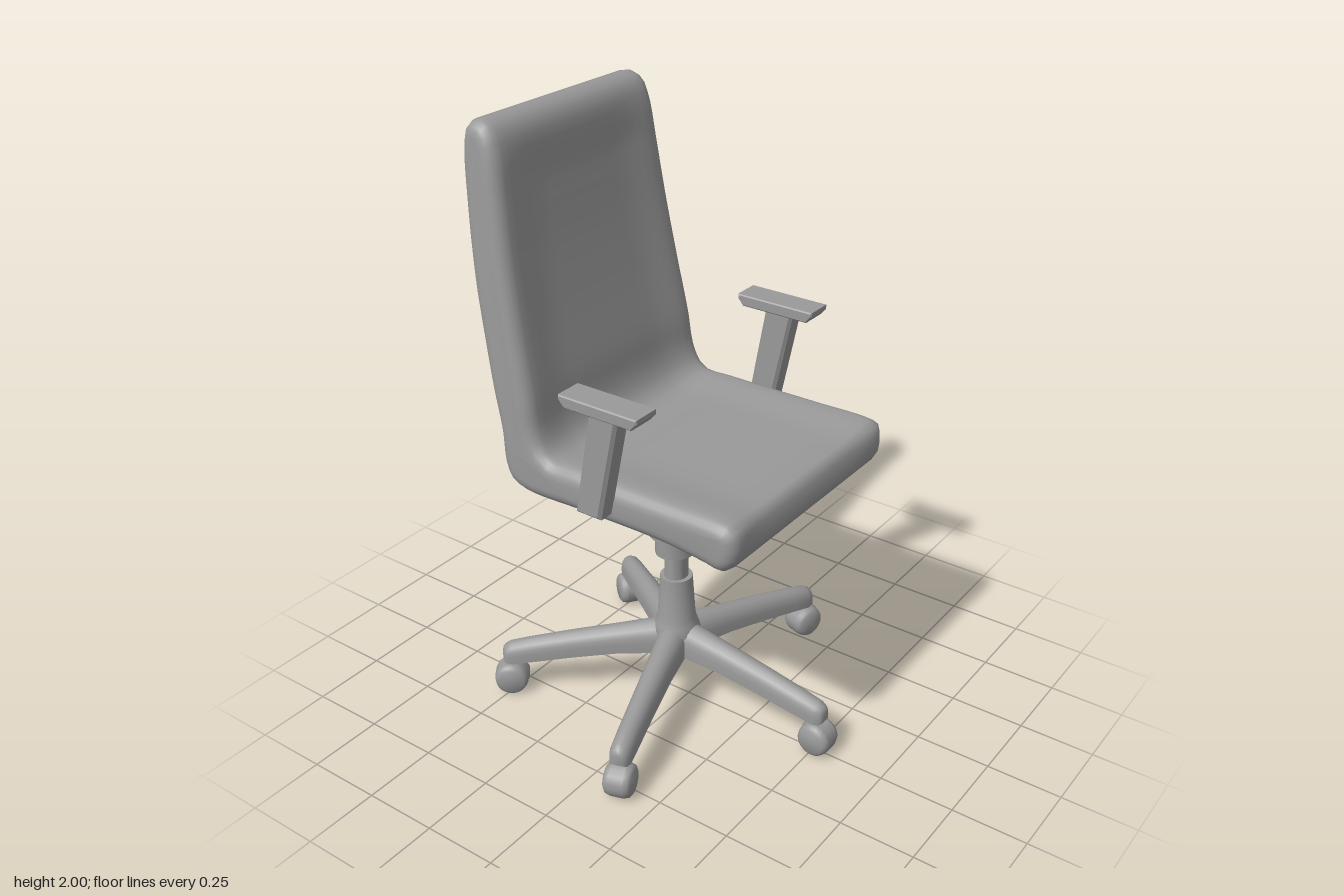
import * as THREE from 'three';
import { toCreasedNormals } from 'three/addons/utils/BufferGeometryUtils.js';

const material = new THREE.MeshStandardMaterial({ color: 0x999999 });
const AXIS_Z = -0.05; // the pedestal stands slightly behind the middle

function part(name, geometry, parent) {
  const mesh = new THREE.Mesh(geometry, material);
  mesh.name = name;
  parent.add(mesh);
  return mesh;
}

// Skin a row of cross-sections that follow each other along +x, and cap both ends.
// Each ring runs counter-clockwise as seen from +x.
function loft(rings, crease) {
  const n = rings[0].length;
  const last = (rings.length - 1) * n;
  const index = [];
  for (let i = 0; i < rings.length - 1; i++) {
    for (let j = 0; j < n; j++) {
      const a = i * n + j, c = i * n + (j + 1) % n;
      index.push(a, c, a + n, c, c + n, a + n);
    }
  }
  const flat = (ring) => ring.map((p) => new THREE.Vector2(-p.z, p.y));
  for (const [a, b, c] of THREE.ShapeUtils.triangulateShape(flat(rings[0]), [])) index.push(a, c, b);
  for (const [a, b, c] of THREE.ShapeUtils.triangulateShape(flat(rings.at(-1)), [])) index.push(last + a, last + b, last + c);
  const geometry = new THREE.BufferGeometry().setFromPoints(rings.flat());
  geometry.setIndex(index);
  return toCreasedNormals(geometry, crease);
}

function lathe(points, crease = 0.6) {
  const geometry = new THREE.LatheGeometry(points.map(([r, y]) => new THREE.Vector2(r, y)), 24);
  return toCreasedNormals(geometry, crease);
}

// Seat and back are one L-shaped cushion: side profile (z, y), rounded and dished across x.
function cushionGeometry() {
  const { smoothstep } = THREE.MathUtils;
  const outline = [
    [0.455, 0.97], [0.45, 0.9], [0.41, 0.858], [0.34, 0.866], [0.2, 0.88], [-0.1, 0.88], [-0.32, 0.88],
    [-0.375, 0.905], [-0.402, 0.96], [-0.412, 1.07], [-0.44, 1.2], [-0.47, 1.36], [-0.5, 1.53],
    [-0.525, 1.75], [-0.535, 1.93], [-0.52, 1.985], [-0.48, 2.0], [-0.435, 1.98], [-0.41, 1.92],
    [-0.39, 1.78], [-0.365, 1.6], [-0.33, 1.4], [-0.29, 1.2], [-0.27, 1.08], [-0.232, 1.02],
    [-0.12, 1.015], [0.2, 1.015], [0.4, 1.015], [0.442, 1.005],
  ];
  const curve = new THREE.CatmullRomCurve3(outline.map(([z, y]) => new THREE.Vector3(0, y, z)), true);
  const count = 120, bevel = 0.045;
  const profile = [];
  for (let i = 0; i < count; i++) {
    const p = curve.getPointAt(i / count), t = curve.getTangentAt(i / count);
    const normal = new THREE.Vector3(0, t.z, -t.y);
    // The dish fades out over the front lip and the top edge
    const dish = 0.015 * smoothstep(normal.y + normal.z, 0.2, 0.9)
      * smoothstep(p.y, 0.9, 1.0) * (1 - smoothstep(p.y, 1.8, 1.98));
    profile.push({ p, normal, dish });
  }
  // Stations of the left half, from the middle outwards: [distance in from the side, inset of the profile]
  const half = [[0.25, 0], [0.2, 0], [0.15, 0], [0.11, 0], [0.075, 0]];
  for (let k = 0; k <= 5; k++) {
    const a = (k / 5) * Math.PI / 2;
    half.push([bevel * (1 - Math.sin(a)), bevel * (1 - Math.cos(a))]);
  }
  const stations = [
    ...half.map(([d, inset]) => [-1, d, inset]).reverse(),
    ...half.map(([d, inset]) => [1, d, inset]),
  ];
  return loft(stations.map(([sign, d, inset]) => profile.map(({ p, normal, dish }) => {
    const width = 0.43 - 0.052 * Math.pow(Math.max(0, (p.y - 1) / 0.95), 1.5);
    const v = p.clone().addScaledVector(normal, -inset - dish * smoothstep(d, 0.04, 0.2));
    v.x = sign * (width - d) + 0.004;
    return v;
  })), 1.2);
}

// Leg along +x: flat underneath, arched on top. Stations: [x, half width, bottom, top]
function legGeometry() {
  const stations = [
    [0, 0.055, 0.175, 0.29], [0.08, 0.05, 0.18, 0.283], [0.2, 0.044, 0.174, 0.262],
    [0.35, 0.04, 0.155, 0.237], [0.5, 0.037, 0.132, 0.208], [0.56, 0.035, 0.123, 0.194],
    [0.58, 0.028, 0.124, 0.183], [0.588, 0.018, 0.13, 0.172],
  ];
  return loft(stations.map(([x, w, bottom, top]) => {
    const ring = [new THREE.Vector3(x, bottom, w), new THREE.Vector3(x, bottom, -w)];
    const h = 0.6 * (top - bottom);
    for (let k = 0; k <= 8; k++) {
      const a = (k / 8) * Math.PI;
      ring.push(new THREE.Vector3(x, top - h + h * Math.sin(a), -w * Math.cos(a)));
    }
    return ring;
  }), 0.8);
}

// Lever with a flat paddle. Stations: [x, y, z, half depth, half height]
function leverGeometry() {
  const stations = [
    [0.08, 0.812, -0.03, 0.018, 0.011], [0.16, 0.8, -0.02, 0.018, 0.011], [0.38, 0.747, 0.06, 0.02, 0.011],
    [0.43, 0.741, 0.085, 0.04, 0.01], [0.55, 0.732, 0.1, 0.045, 0.01],
  ];
  return loft(stations.map(([x, y, z, d, h]) => [[1, -1], [-1, -1], [-1, 1], [1, 1]]
    .map(([sz, sy]) => new THREE.Vector3(x, y + sy * h, z + sz * d))), 0.3);
}

// Prism across x from a side outline (z, y), with chamfered edges
function prism(points, width, bevel) {
  const shape = new THREE.Shape(points.map(([z, y]) => new THREE.Vector2(-z, y)));
  const geometry = new THREE.ExtrudeGeometry(shape, {
    depth: width - 2 * bevel, bevelSize: bevel, bevelThickness: bevel, bevelOffset: -bevel, bevelSegments: 1,
  });
  return geometry.translate(0, 0, bevel - width / 2).rotateY(Math.PI / 2);
}

function buildArmrest(side) {
  const arm = new THREE.Group();
  arm.name = side > 0 ? 'leftArmrest' : 'rightArmrest';
  arm.position.x = side * 0.453 + 0.005;
  const pad = [[0.18, 1.31], [0.18, 1.295], [0.16, 1.272], [-0.08, 1.272], [-0.1, 1.295], [-0.1, 1.31]];
  part('armPad', prism(pad, 0.096, 0.004), arm);
  const post = [[0.1, 1.28], [0.028, 0.93], [-0.065, 0.93], [-0.002, 1.28]];
  part('armPost', prism(post, 0.068, 0.01), arm);
  return arm;
}

function buildLegWithCaster(leg, wheel, hood) {
  const group = new THREE.Group();
  group.name = 'legWithCaster';
  part('leg', leg, group);
  part('casterWheel', wheel, group).position.set(0.563, 0.057, 0);
  part('casterHood', hood, group).position.set(0.562, 0.06, 0);
  const stem = part('casterStem', new THREE.CylinderGeometry(0.015, 0.015, 0.06, 10), group);
  stem.position.set(0.545, 0.12, 0);
  return group;
}

export function createModel() {
  const chair = new THREE.Group();
  chair.name = 'officeChair';

  part('seatAndBack', cushionGeometry(), chair);
  for (const side of [1, -1]) chair.add(buildArmrest(side));

  // Mounting plate, flared out under the seat
  const plate = new THREE.CylinderGeometry(0.3, 0.12, 0.05, 8).rotateY(Math.PI / 8);
  part('mountingPlate', toCreasedNormals(plate, 0.3), chair).position.set(0, 0.863, -0.02);

  // Stepped mechanism and gas lift, a little wider than deep
  const lift = part('gasLift', lathe([
    [0, 0.45], [0.038, 0.45], [0.038, 0.562], [0.066, 0.562], [0.066, 0.636], [0.086, 0.636], [0.086, 0.732],
    [0.11, 0.732], [0.12, 0.75], [0.132, 0.82], [0.132, 0.848], [0, 0.848],
  ]), chair);
  lift.scale.x = 1.15;
  lift.position.z = AXIS_Z;

  part('lever', leverGeometry(), chair);

  // Five-legged base
  const base = new THREE.Group();
  base.name = 'base';
  base.position.z = AXIS_Z;
  chair.add(base);
  part('baseColumn', lathe([
    [0, 0.182], [0.07, 0.182], [0.08, 0.26], [0.072, 0.285], [0.064, 0.31], [0.054, 0.465], [0, 0.465],
  ]), base);

  // Barrel-shaped wheels with softly rounded rims
  const leg = legGeometry();
  const wheel = lathe([
    [0, -0.047], [0.042, -0.045], [0.052, -0.038], [0.057, -0.022],
    [0.057, 0.022], [0.052, 0.038], [0.042, 0.045], [0, 0.047],
  ], 0.9).rotateX(Math.PI / 2);
  const hood = new THREE.CylinderGeometry(0.058, 0.058, 0.05, 14, 1, Math.PI / 2, Math.PI).rotateX(Math.PI / 2);
  for (let k = 0; k < 5; k++) {
    const unit = buildLegWithCaster(leg, wheel, hood);
    unit.rotation.y = -Math.PI / 2 + k * Math.PI * 2 / 5;
    base.add(unit);
  }
  return chair;
}
